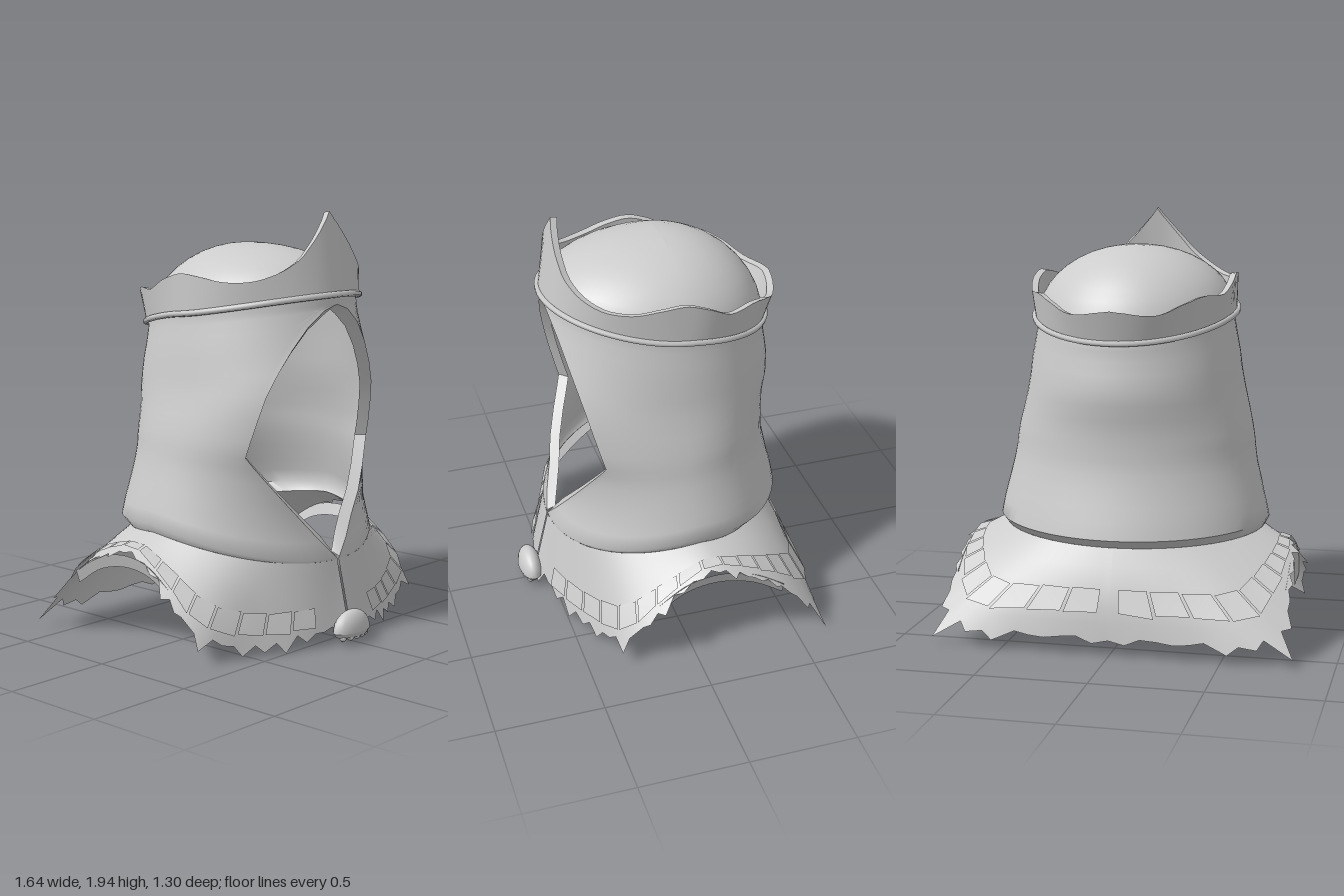
import * as THREE from 'three';
import { toCreasedNormals } from 'three/addons/utils/BufferGeometryUtils.js';

const V = (x, y, z) => new THREE.Vector3(x, y, z);
const lerp = THREE.MathUtils.lerp;

// Surface through equal-length rows of points
function grid(rows, crease = 0.7) {
  const n = rows[0].length, pos = [], index = [];
  rows.forEach(r => r.forEach(p => pos.push(p.x, p.y, p.z)));
  for (let j = 0; j < rows.length - 1; j++) {
    for (let i = 0; i < n - 1; i++) {
      const a = j * n + i, b = a + 1, c = a + n, d = c + 1;
      index.push(a, b, d, a, d, c);
    }
  }
  const g = new THREE.BufferGeometry();
  g.setAttribute('position', new THREE.Float32BufferAttribute(pos, 3));
  g.setIndex(index);
  return toCreasedNormals(g, crease);
}

const mirror = p => V(-p.x, p.y, p.z);
// Half ring (front to back on +x) completed on the other side
const full = half => [...half, ...half.slice(0, -1).reverse().map(mirror)];

// Hood sections: front edge y, half opening, z | side y, half width, centre z | back y, z
const SECTIONS = [
  [0.43, 0, 0.50, 0.57, 0.61, -0.08, 0.53, -0.52],
  [0.44, 0.01, 0.50, 0.61, 0.63, -0.08, 0.58, -0.60],
  [0.52, 0.09, 0.475, 0.67, 0.618, -0.08, 0.65, -0.585],
  [0.60, 0.16, 0.445, 0.72, 0.605, -0.08, 0.72, -0.565],
  [0.70, 0.25, 0.415, 0.79, 0.588, -0.07, 0.79, -0.55],
  [0.80, 0.33, 0.375, 0.86, 0.57, -0.07, 0.86, -0.535],
  [0.88, 0.39, 0.34, 0.92, 0.56, -0.06, 0.92, -0.53],
  [0.93, 0.425, 0.32, 0.96, 0.555, -0.06, 0.97, -0.53],
  [1.00, 0.415, 0.34, 1.02, 0.545, -0.06, 1.02, -0.53],
  [1.10, 0.395, 0.367, 1.10, 0.525, -0.05, 1.10, -0.538],
  [1.20, 0.37, 0.392, 1.18, 0.505, -0.05, 1.17, -0.555],
  [1.30, 0.32, 0.417, 1.26, 0.49, -0.05, 1.24, -0.558],
  [1.40, 0.255, 0.441, 1.35, 0.48, -0.05, 1.30, -0.55],
  [1.50, 0.17, 0.463, 1.43, 0.465, -0.05, 1.36, -0.54],
  [1.565, 0.08, 0.478, 1.49, 0.455, -0.05, 1.41, -0.535],
  [1.59, 0, 0.483, 1.52, 0.45, -0.05, 1.43, -0.535],
  [1.64, 0, 0.48, 1.55, 0.45, -0.05, 1.45, -0.53],
];

// Point on a section, u = 0 at the front edge, 0.5 at the side, 1 at the back
function sectionPoint([yF, w, zF, yS, W, zS, yB, zB], u) {
  const t1 = Math.acos(w / W);
  if (u < 0.5) {
    const t = t1 * (1 - 2 * u), f = Math.sin(t) / Math.sin(t1);
    return V(W * Math.cos(t), lerp(yS, yF, f ** 1.25), lerp(zS, zF, f));
  }
  const t = Math.PI * (u - 0.5), f = Math.sin(t);
  return V(W * Math.cos(t), lerp(yS, yB, f ** 1.25), lerp(zS, zB, f));
}
const halfRing = (s, n = 32) => Array.from({ length: n + 1 }, (_, i) => sectionPoint(s, i / n));

// Mantle hem, front to back on +x
const hem = new THREE.CatmullRomCurve3([
  V(0.006, 0.13, 0.57), V(0.25, 0.12, 0.52), V(0.5, 0.11, 0.42), V(0.74, 0.19, 0.32),
  V(0.76, 0.36, 0.15), V(0.74, 0.5, -0.08), V(0.77, 0.455, -0.25), V(0.78, 0.34, -0.43),
  V(0.73, 0.16, -0.61), V(0.38, 0.14, -0.64), V(0, 0.13, -0.635),
]);
// Mantle surface, bowed outward towards the back
function mantlePoint(u, v) {
  const a = sectionPoint(SECTIONS[0], u);
  a.x = Math.max(a.x, u < 0.5 ? 0.005 : 0);
  a.lerp(hem.getPoint(u), v);
  a.z -= 0.03 * Math.max(0, 2 * u - 1) * Math.sin(Math.PI * Math.min(v, 1));
  return a;
}

// Upper edge of the plain band arching over each shoulder
const shoulderArch = new THREE.CatmullRomCurve3([
  V(0.73, 0.24, 0.29), V(0.745, 0.365, 0.16), V(0.75, 0.455, 0.03),
  V(0.75, 0.48, -0.12), V(0.76, 0.45, -0.28), V(0.76, 0.36, -0.43),
]);

export function createModel() {
  const model = new THREE.Group();
  const cloth = new THREE.MeshStandardMaterial({ color: 0xcccccc, side: THREE.DoubleSide });
  cloth.name = 'light grey';
  const add = (name, geometry, parent = model) => {
    const m = new THREE.Mesh(geometry, cloth);
    m.name = name;
    parent.add(m);
    return m;
  };

  // Hood wall with the face opening
  add('hood', grid(SECTIONS.map(s => full(halfRing(s))), 0.9));

  // Domed top of the hood
  const top = SECTIONS[SECTIONS.length - 1];
  const topRing = full(halfRing(top));
  const domeRows = [];
  for (let k = 0; k <= 10; k++) {
    const a = (k / 10) * Math.PI / 2, s = Math.cos(a);
    domeRows.push(topRing.map(p => V(p.x * s, lerp(p.y, 1.85, Math.sin(a) ** 1.1), lerp(-0.06, p.z, s))));
  }
  add('hoodDome', grid(domeRows, 1.2));

  // Turned-in border of the face opening
  const edge = SECTIONS.slice(1, 16).map(s => sectionPoint(s, 0));
  const inner = edge.map(p => V(Math.max(0, p.x - 0.038), lerp(p.y, 0.95, 0.04), p.z - 0.04));
  for (const side of [1, -1]) {
    const flip = r => r.map(p => V(p.x * side, p.y, p.z));
    add(side > 0 ? 'leftFaceBorder' : 'rightFaceBorder', grid([flip(edge), flip(inner)]));
  }

  // Crown: thick wavy wall with a tall front point
  const crown = new THREE.Group();
  crown.name = 'crown';
  model.add(crown);
  const wave = new THREE.SplineCurve([
    [0, 2.0], [0.05, 1.925], [0.1, 1.85], [0.15, 1.785], [0.21, 1.735], [0.28, 1.7], [0.36, 1.695],
    [0.43, 1.715], [0.5, 1.725], [0.57, 1.69], [0.63, 1.645], [0.72, 1.645], [0.8, 1.61], [0.88, 1.57], [1, 1.59],
  ].map(p => new THREE.Vector2(...p)));
  const wavePts = wave.getPoints(240);
  const waveY = u => wavePts.find(p => p.x >= u - 1e-6).y;
  const crownRows = [[], [], [], [], []];
  const N = 48;
  for (let i = 0; i <= N; i++) {
    const u = i / N, p = sectionPoint(top, u), y = waveY(u);
    const out = V(p.x / 0.45, 0, (p.z + 0.05) / 0.5).normalize();
    const at = (d, yy) => {
      const q = p.clone().addScaledVector(out, d);
      return V(i === 0 || i === N ? 0 : q.x, yy, q.z);
    };
    const lean = lerp(0.022, -0.045, Math.max(0, (y - 1.69) / 0.31)) + 0.035 * Math.max(0, 2 * u - 1);
    const o = [at(0.012, p.y), at(lean, y), at(lean - 0.03, y - 0.005), at(-0.02, p.y), at(0.012, p.y)];
    o.forEach((q, k) => crownRows[k].push(q));
  }
  add('crownWall', grid(crownRows.map(full), 0.6), crown);

  // Raised cord around the crown base
  const cordPts = full(halfRing(top)).slice(0, -1)
    .map(p => V(p.x * 1.035, p.y - 0.005, (p.z + 0.05) * 1.03 - 0.05));
  const cord = new THREE.CatmullRomCurve3(cordPts, true);
  add('crownCord', new THREE.TubeGeometry(cord, 96, 0.014, 6, true), crown);

  // Mantle with a ragged hem, split by a seam at the front, and a row of raised patches
  let seed = 7;
  const rnd = () => (seed = (seed * 16807) % 2147483647) / 2147483647;
  const M = 52;
  const teeth = Array.from({ length: M + 1 }, (_, i) => 0.93 + (i % 2 ? 0.04 + 0.28 * rnd() ** 1.5 : 0.08 * rnd()));
  const PATCHES = 18;
  for (const side of [1, -1]) {
    const half = new THREE.Group();
    half.name = side > 0 ? 'leftMantle' : 'rightMantle';
    model.add(half);
    const pt = (u, v, lift = 0) => {
      const p = mantlePoint(u, v);
      const out = V(p.x, 0.5, p.z).normalize();
      p.addScaledVector(out, lift);
      return V(p.x * side, p.y, p.z);
    };
    const rows = [0, 0.2, 0.4, 0.6, 0.8, 1].map(v =>
      teeth.map((t, i) => pt(i / M, v === 1 ? t : v)));
    add('mantleCloth', grid(rows, 0.8), half);
    for (let k = 0; k < PATCHES; k++) {
      const u0 = 0.08 + (k / PATCHES) * 0.91, u1 = u0 + 0.046;
      const v0 = 0.66 - 0.24 * u0, v1 = v0 + 0.26, drop = 0.05 * rnd();
      add('mantlePatch', grid([
        [pt(u0, v0, 0.008), pt(u1, v0, 0.008)],
        [pt(u0, v1 + drop, 0.02), pt(u1, v1, 0.02)],
      ]), half);
    }
    // Smooth band under the shoulder part of the hem
    const arch = shoulderArch.getPoints(24);
    add('shoulderBand', grid([0, 1].map(k =>
      arch.map(p => V(side * (p.x - 0.02 * k), p.y - 0.06 * k, p.z)))), half);
  }

  // Domed clasp with small beads beneath
  const clasp = new THREE.Group();
  clasp.name = 'clasp';
  clasp.position.set(-0.015, 0.12, 0.595);
  model.add(clasp);
  const dome = add('claspDome', new THREE.SphereGeometry(1, 20, 8, 0, Math.PI * 2, 0, Math.PI / 2), clasp);
  dome.scale.set(0.115, 0.095, 0.055);
  const base = add('claspBase', new THREE.CylinderGeometry(1, 0.85, 0.02, 20), clasp);
  base.scale.set(0.115, 1, 0.055);
  base.position.y = -0.01;
  for (let i = -2; i <= 2; i++) {
    const bead = add('claspBead', new THREE.SphereGeometry(0.018, 8, 6), clasp);
    bead.position.set(i * 0.038, -0.02, 0.03 - 0.004 * i * i);
  }
  return model;
}
